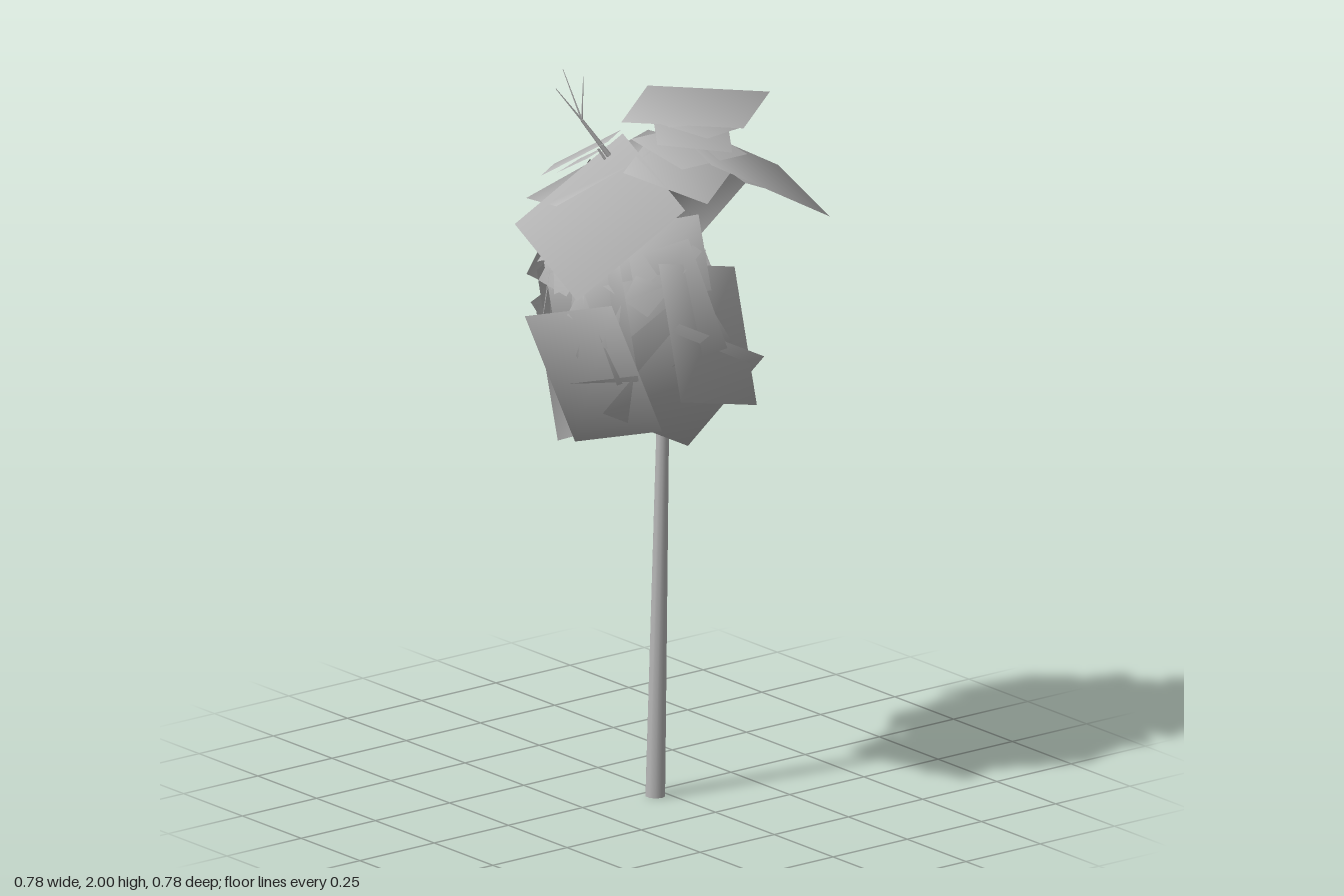
import * as THREE from 'three';
import { mergeGeometries } from 'three/addons/utils/BufferGeometryUtils.js';

const UP = new THREE.Vector3(0, 1, 0);
const CROWN_CENTRE = new THREE.Vector3(-0.02, 1.38, 0);

function seeded(seed) {
  return () => {
    seed = (seed * 16807) % 2147483647;
    return seed / 2147483647;
  };
}

// Tapered limb between two points
function limb(a, b, r0, r1, sides = 6) {
  const from = new THREE.Vector3(...a), to = new THREE.Vector3(...b);
  const dir = to.clone().sub(from);
  const geo = new THREE.CylinderGeometry(r1, r0, dir.length(), sides);
  geo.applyQuaternion(new THREE.Quaternion().setFromUnitVectors(UP, dir.clone().normalize()));
  const mid = from.add(to).multiplyScalar(0.5);
  return geo.translate(mid.x, mid.y, mid.z);
}

// Flat leaf card around a centre with half edges u and v, turned to face
// outward; its normals fan out from the crown centre for soft shading
function card(centre, u, v) {
  const outward = centre.clone().sub(CROWN_CENTRE);
  if (u.clone().cross(v).dot(outward) < 0) u = u.clone().negate();
  const geo = new THREE.PlaneGeometry(2, 2);
  geo.applyMatrix4(new THREE.Matrix4().makeBasis(u, v, u.clone().cross(v)).setPosition(centre));
  const p = geo.attributes.position, n = geo.attributes.normal, d = new THREE.Vector3();
  for (let i = 0; i < p.count; i++) {
    d.fromBufferAttribute(p, i).sub(CROWN_CENTRE).normalize();
    n.setXYZ(i, d.x, d.y, d.z);
  }
  return geo;
}

// Card given by one corner and its two neighbouring corners
function cornerCard([ax, ay, az, bx, by, bz, cx, cy, cz]) {
  const a = new THREE.Vector3(ax, ay, az);
  const u = new THREE.Vector3(bx, by, bz).sub(a).multiplyScalar(0.5);
  const v = new THREE.Vector3(cx, cy, cz).sub(a).multiplyScalar(0.5);
  return { centre: a.add(u).add(v), u, v };
}

// Square card facing a compass direction and elevation (degrees)
function facingCard([x, y, z, azimuth, elevation, roll, size]) {
  const rad = THREE.MathUtils.degToRad;
  const turn = new THREE.Euler(-rad(elevation), rad(azimuth), rad(roll), 'YXZ');
  return {
    centre: new THREE.Vector3(x, y, z),
    u: new THREE.Vector3(size / 2, 0, 0).applyEuler(turn),
    v: new THREE.Vector3(0, size / 2, 0).applyEuler(turn),
  };
}

// Big cards by corners: canopy roof first, then the walls
const CORNER_CARDS = [
  [-0.155, 1.89, 0.045, 0.055, 1.895, 0.3, 0.1, 1.89, -0.165],
  [-0.155, 1.58, -0.36, 0.165, 1.735, -0.245, -0.315, 1.67, -0.03],
  [-0.11, 1.68, -0.3, 0.01, 1.785, -0.165, -0.26, 1.71, -0.165],
  [0.32, 1.31, -0.33, 0.357, 1.63, -0.035, -0.09, 1.435, -0.39],
  [-0.395, 1.47, 0.16, -0.34, 1.59, -0.175, -0.13, 1.7, 0.285],
  [0.275, 1.63, 0.387, 0.39, 1.66, 0.025, -0.045, 1.81, 0.29],
  [0.125, 0.975, -0.165, -0.27, 1.0, -0.08, 0.14, 1.32, -0.28],
  [-0.2, 1.2, 0.355, 0.08, 1.13, 0.325, -0.2, 1.56, 0.26],
  [-0.22, 1.11, 0.3, -0.22, 0.99, -0.07, -0.31, 1.45, 0.2],
];

// Other cards: x, y, z, azimuth, elevation, roll, size
const FACING_CARDS = [
  [-0.1, 1.2, 0.24, -12, -25, -30, 0.33],
  [-0.26, 1.36, 0.05, -90, 0, 15, 0.33],
  [-0.22, 1.48, -0.17, -130, 8, -15, 0.29],
  [-0.02, 1.46, -0.28, 185, 8, 30, 0.3],
  [-0.18, 1.41, 0.21, -42, 8, 20, 0.31],
  [0.14, 1.38, -0.23, 150, -6, -20, 0.32],
  [-0.06, 1.1, 0.08, -15, -65, 20, 0.26],
  [-0.02, 1.75, 0.12, 10, 72, 25, 0.24],
];

export function createModel() {
  const tree = new THREE.Group();
  tree.name = 'tree';
  const grey = new THREE.MeshStandardMaterial({ color: 0xb8b8b8, side: THREE.DoubleSide });
  grey.name = 'grey';
  const add = (name, parts) => {
    const mesh = new THREE.Mesh(mergeGeometries(parts), grey);
    mesh.name = name;
    tree.add(mesh);
  };

  // Slender, slightly leaning trunk
  add('trunk', [
    limb([-0.035, 0, 0.038], [-0.013, 1.05, 0.043], 0.027, 0.017, 10),
    limb([-0.013, 1.05, 0.043], [0.005, 1.82, 0.035], 0.017, 0.005, 8),
  ]);

  // Branches rising from the trunk into the crown
  const branches = [
    [1.07, [-0.05, 1.36, 0.21]], [1.06, [0.14, 1.27, 0.1]],
    [1.1, [-0.22, 1.36, -0.04]], [1.28, [-0.04, 1.63, 0.17]],
    [1.4, [-0.1, 1.66, -0.14]], [1.5, [-0.15, 1.79, -0.06]],
  ];
  add('branches', branches.map(([y, tip]) =>
    limb([-0.013 + (y - 1.05) * 0.023, y, 0.042], tip, 0.008, 0.003)));

  // Bare shoot poking out above the crown
  const fork = [-0.185, 1.87, -0.085];
  const twigs = [[-0.245, 1.96, -0.12], [-0.205, 2, -0.14], [-0.16, 1.98, -0.11]];
  add('topShoot', [
    limb([-0.125, 1.77, -0.045], fork, 0.007, 0.004),
    ...twigs.map((tip) => limb(fork, tip, 0.003, 0.001, 4)),
  ]);

  // Each large card carries a smaller, turned one just beneath it
  const withInner = ({ centre, u, v }) => [
    card(centre, u, v),
    card(
      centre.clone().lerp(CROWN_CENTRE, 0.04),
      u.clone().multiplyScalar(0.5).addScaledVector(v, 0.25),
      v.clone().multiplyScalar(0.5).addScaledVector(u, -0.25)),
  ];
  add('largeLeaves', CORNER_CARDS.map(cornerCard).flatMap(withInner));
  add('sideLeaves', FACING_CARDS.map(facingCard).flatMap(withInner));

  // Small filler leaves just inside the crown, leaving the left side open
  const rnd = seeded(41);
  const fillers = [];
  while (fillers.length < 30) {
    const az = 150 + rnd() * 195, el = -35 + rnd() * 80;
    const a = THREE.MathUtils.degToRad(az), e = THREE.MathUtils.degToRad(el);
    const r = 0.24 + rnd() * 0.04;
    fillers.push(facingCard([
      CROWN_CENTRE.x + r * Math.cos(e) * Math.sin(a),
      CROWN_CENTRE.y + r * 1.2 * Math.sin(e),
      r * Math.cos(e) * Math.cos(a),
      az + rnd() * 30 - 15, el + rnd() * 30 - 15, rnd() * 90, 0.13 + rnd() * 0.11]));
  }
  // Thin stack of leaves near the top
  for (let i = 0; i < 4; i++) {
    fillers.push(facingCard([0.03 + 0.02 * i, 1.8 + i * 0.025, 0.1 - 0.01 * i, 30 * i, 82, 25 * i, 0.22 - 0.02 * i]));
  }
  add('smallLeaves', fillers.map(({ centre, u, v }) => card(centre, u, v)));
  return tree;
}
